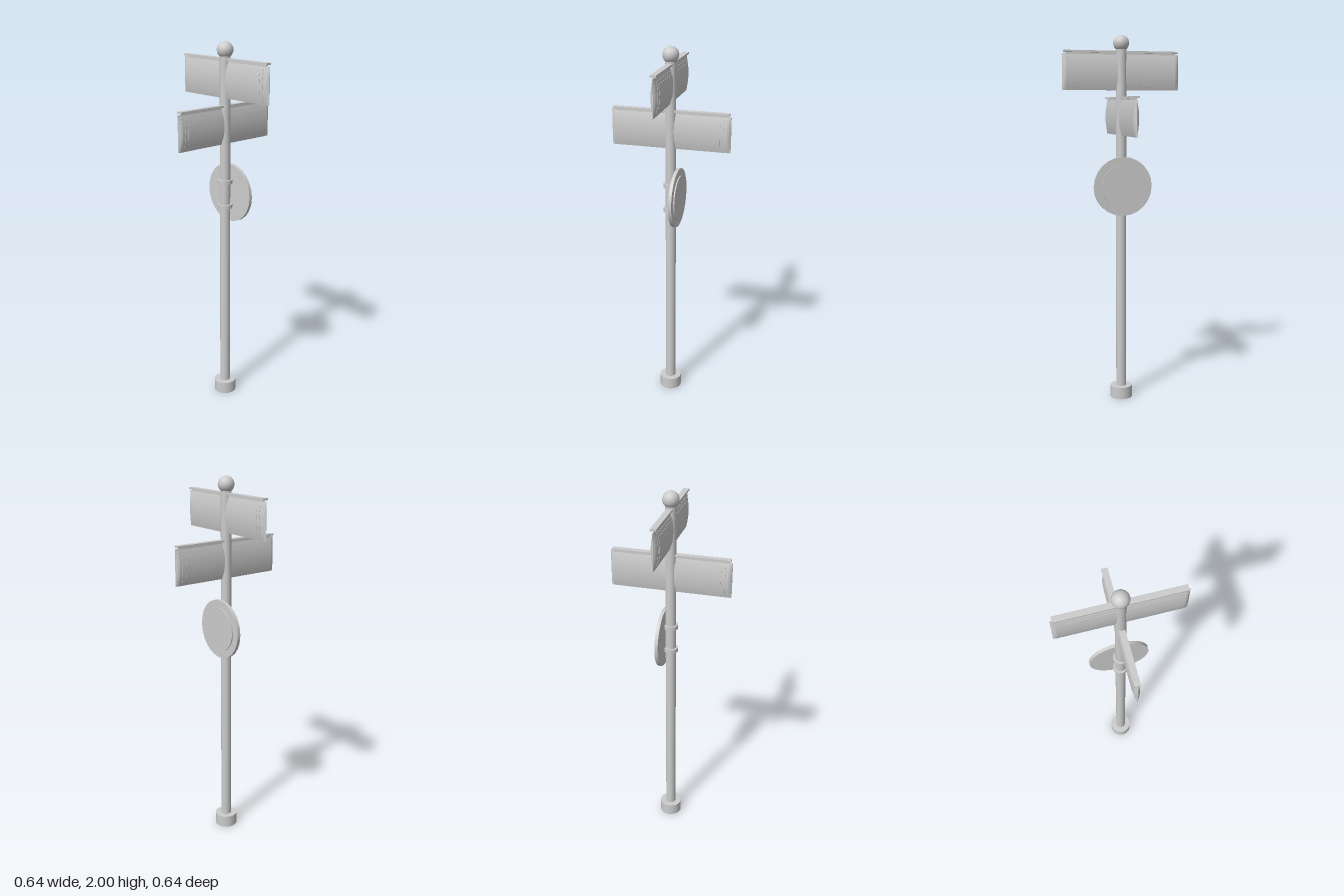
import * as THREE from 'three';

const SIGN_HALF_HEIGHT = 0.095;

// Half thickness of the lens-shaped sign at height y from its middle
const lens = (y) => 0.003 + 0.0125 * (1 - (y / SIGN_HALF_HEIGHT) ** 2);

// Lofts the lens cross-section along x; each station is [x, thickness scale]
function lensPlate(stations, halfHeight, offset) {
  const n = 10, ring = [];
  for (const side of [1, -1]) {
    for (let i = 0; i <= n; i++) {
      const y = side * halfHeight * (2 * i / n - 1);
      ring.push([y, side * (lens(y) + offset)]);
    }
  }
  const count = ring.length, pos = [];
  const at = (s, i) => [s[0], ring[i % count][0], ring[i % count][1] * s[1]];
  for (let k = 0; k < stations.length - 1; k++) {
    for (let i = 0; i < count; i++) {
      const a = at(stations[k], i), b = at(stations[k + 1], i);
      const c = at(stations[k + 1], i + 1), d = at(stations[k], i + 1);
      pos.push(...a, ...b, ...c, ...a, ...c, ...d);
    }
  }
  // End caps
  const first = stations[0], last = stations[stations.length - 1];
  for (let i = 0; i < count; i++) {
    pos.push(first[0], 0, 0, ...at(first, i), ...at(first, i + 1));
    pos.push(last[0], 0, 0, ...at(last, i + 1), ...at(last, i));
  }
  const geometry = new THREE.BufferGeometry();
  geometry.setAttribute('position', new THREE.Float32BufferAttribute(pos, 3));
  geometry.computeVertexNormals();
  return geometry;
}

export function createModel() {
  const model = new THREE.Group();
  model.name = 'streetSign';
  const grey = new THREE.MeshStandardMaterial({ color: 0xcccccc });
  grey.name = 'paintedMetal';

  const add = (parent, name, geometry, x = 0, y = 0, z = 0) => {
    const mesh = new THREE.Mesh(geometry, grey);
    mesh.name = name;
    mesh.position.set(x, y, z);
    parent.add(mesh);
    return mesh;
  };

  // Post with foot and ball finial
  add(model, 'foot', new THREE.CylinderGeometry(0.061, 0.061, 0.066, 16), 0, 0.033, 0);
  add(model, 'post', new THREE.CylinderGeometry(0.028, 0.028, 1.9, 16), 0, 0.99, 0);
  add(model, 'finial', new THREE.SphereGeometry(0.043, 16, 12), 0, 1.957, 0);

  // Two crossed street name signs
  const makeSign = (name, y, angle) => {
    const sign = new THREE.Group();
    sign.name = name;
    sign.position.y = y;
    sign.rotation.y = angle;
    add(sign, 'signBody', lensPlate([[-0.319, 0.1], [-0.309, 0.75], [-0.3, 1],
      [0.3, 1], [0.309, 0.75], [0.319, 0.1]], SIGN_HALF_HEIGHT, 0));
    add(sign, 'signBorder', lensPlate([[-0.285, 1], [0.285, 1]], 0.078, 0.0015));
    add(sign, 'signField', lensPlate([[-0.264, 1], [0.264, 1]], 0.06, 0.003));
    add(sign, 'capNeck', new THREE.BoxGeometry(0.6, 0.012, 0.008), 0, 0.098, 0);
    add(sign, 'cap', new THREE.BoxGeometry(0.62, 0.01, 0.031), 0, 0.106, 0);
    model.add(sign);
  };
  makeSign('upperSign', 1.805, 0);
  makeSign('lowerSign', 1.565, Math.PI / 2);

  // Round sign on the back of the post
  const disc = (name, radius, depth, z) =>
    add(model, name, new THREE.CylinderGeometry(radius, radius, depth, 24).rotateX(Math.PI / 2), 0, 1.197, z);
  disc('roundSign', 0.16, 0.018, -0.037);
  disc('roundSignField', 0.12, 0.007, -0.0485);

  // Clamps holding the round sign
  for (const y of [1.265, 1.127]) {
    add(model, 'clamp', new THREE.CylinderGeometry(0.039, 0.039, 0.022, 16), 0, y, 0);
  }
  return model;
}
